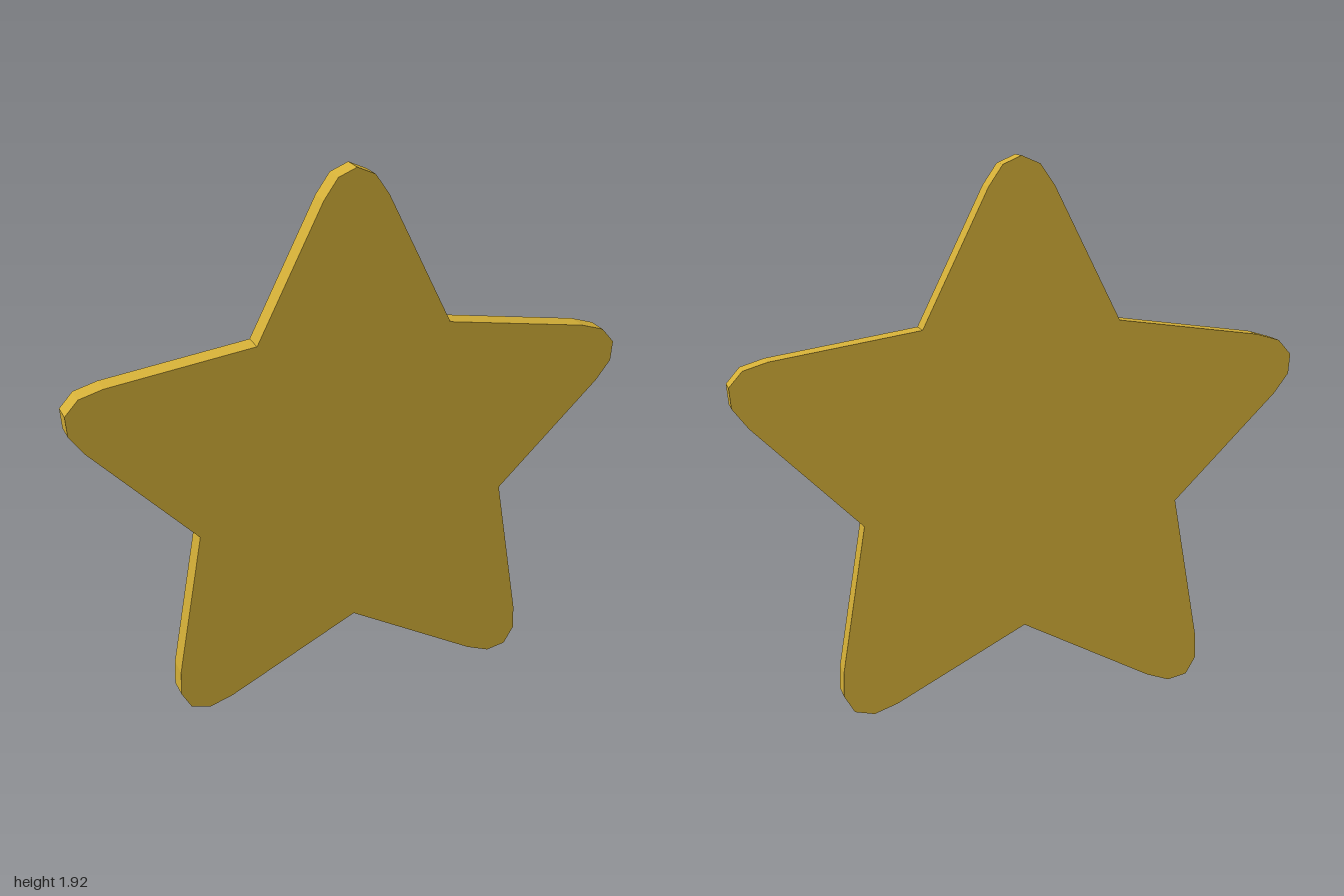
import * as THREE from 'three';

export function createModel() {
  const group = new THREE.Group();
  group.name = 'star';
  const gold = new THREE.MeshStandardMaterial({ color: 0xd4af37 });
  gold.name = 'gold';

  // One arm pointing up from the star's centre: inner corner, then the blunted tip
  const arm = [[0.349, 0.481], [0.115, 0.951], [0.065, 1.023], [0, 1.051], [-0.065, 1.023], [-0.115, 0.951]];
  const centreY = 0.874;
  const tilt = -0.007;
  const depth = 0.08;

  // Repeat the arm five times, counter-clockwise
  const outline = [];
  const centre = new THREE.Vector2();
  for (let i = 0; i < 5; i++) {
    for (const [x, y] of arm) {
      outline.push(new THREE.Vector2(x, y).rotateAround(centre, (i * Math.PI * 2) / 5 + tilt));
    }
  }

  // Flat plate with sharp edges
  const geometry = new THREE.ExtrudeGeometry(new THREE.Shape(outline), { depth, bevelEnabled: false });
  geometry.translate(0, centreY, -depth / 2);
  const plate = new THREE.Mesh(geometry, gold);
  plate.name = 'starPlate';
  group.add(plate);

  // Rest the lowest point on the ground
  geometry.computeBoundingBox();
  plate.position.y = -geometry.boundingBox.min.y;
  return group;
}
